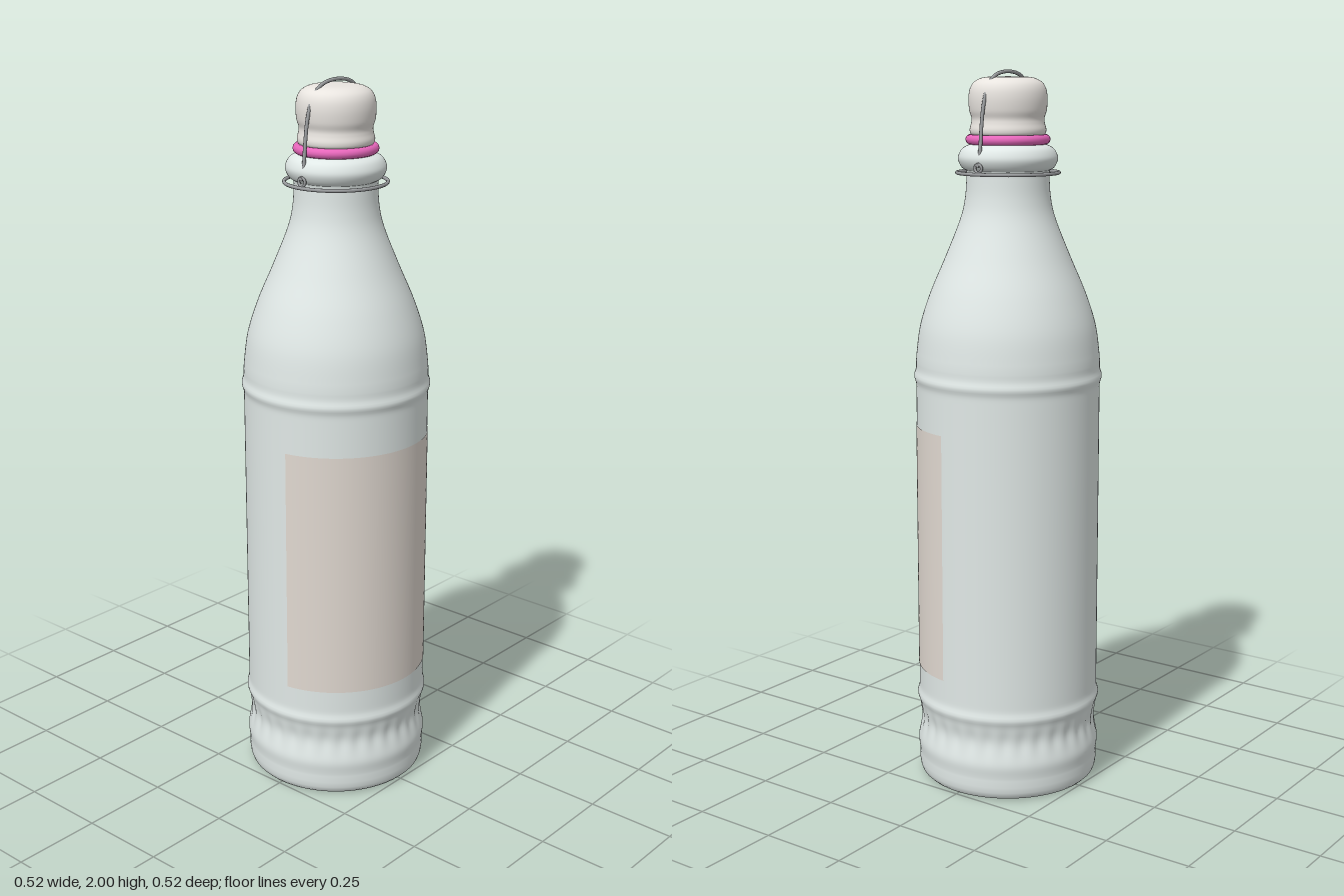
import * as THREE from 'three';
import { mergeVertices } from 'three/addons/utils/BufferGeometryUtils.js';

const V2 = (p) => new THREE.Vector2(p[0], p[1]);
const mat = (color) => new THREE.MeshStandardMaterial({ color });

// Lathe with welded seam; optional rule nudges each vertex radially
function turned(points, segments, radial) {
  let g = new THREE.LatheGeometry(points, segments);
  g.deleteAttribute('uv');
  g.deleteAttribute('normal');
  g = mergeVertices(g, 1e-5);
  if (radial) {
    const p = g.attributes.position;
    for (let i = 0; i < p.count; i++) {
      const x = p.getX(i), z = p.getZ(i), r = Math.hypot(x, z);
      if (r < 0.2) continue;
      const k = 1 + radial(Math.atan2(x, z), p.getY(i)) / r;
      p.setX(i, x * k);
      p.setZ(i, z * k);
    }
  }
  g.computeVertexNormals();
  return g;
}

export function createModel() {
  const model = new THREE.Group();
  const glass = mat(0xe0e8e6), stopperMat = mat(0xe8e4df), pink = mat(0xe868bc);
  const steel = mat(0x9a9c9e), paper = mat(0xe0d8d0);
  const add = (name, geometry, material, parent = model) => {
    const mesh = new THREE.Mesh(geometry, material);
    mesh.name = name;
    parent.add(mesh);
    return mesh;
  };

  // Bottle profile: hollowed base, straight wall with ridges, shoulder, lip
  const base = [[0, 0.045], [0.1, 0.04], [0.16, 0.027], [0.195, 0.01], [0.215, 0.001],
    [0.23, 0], [0.243, 0.004], [0.251, 0.012], [0.255, 0.024], [0.257, 0.04]].map(V2);
  const wall = [];
  const bump = (y, at, width) => Math.exp(-(((y - at) / width) ** 2));
  const ranges = [[0.06, 0.3, 32], [0.32, 1.1, 4], [1.12, 1.21, 14]];
  for (const [a, b, n] of ranges) {
    for (let i = 0; i <= n; i++) {
      const y = a + ((b - a) * i) / n;
      const r = 0.256 + 0.006 * bump(y, 0.238, 0.014) + 0.004 * bump(y, 0.1, 0.025)
        - 0.006 * bump(y, 0.17, 0.035) + 0.006 * bump(y, 1.168, 0.014);
      wall.push(new THREE.Vector2(r, y));
    }
  }
  const shoulder = new THREE.SplineCurve([[0.255, 1.225], [0.243, 1.31], [0.214, 1.4],
    [0.171, 1.5], [0.131, 1.6], [0.117, 1.66], [0.113, 1.72]].map(V2)).getPoints(36);
  const lip = new THREE.SplineCurve([[0.114, 1.732], [0.126, 1.74], [0.135, 1.757],
    [0.135, 1.772], [0.125, 1.79], [0.108, 1.8], [0.09, 1.804], [0, 1.804]].map(V2)).getPoints(28);

  // Ring of scalloped flutes pressed into the wall near the foot
  const flutes = (angle, y) =>
    -0.0045 * (0.5 + 0.5 * Math.cos(angle * 32)) * bump(y, 0.172, 0.036);
  add('bottle', turned([...base, ...wall, ...shoulder, ...lip], 192, flutes), glass);

  // Paper label wrapped round the front
  const span = THREE.MathUtils.degToRad(162);
  const label = add('label',
    new THREE.CylinderGeometry(0.2575, 0.2575, 0.7, 64, 1, true, -span / 2, span), paper);
  label.position.y = 0.68;
  paper.side = THREE.DoubleSide;

  // Swing-top closure
  const closure = new THREE.Group();
  closure.name = 'closure';
  model.add(closure);

  const gasket = add('gasket', new THREE.TorusGeometry(0.102, 0.0135, 14, 72), pink, closure);
  gasket.rotation.x = Math.PI / 2;
  gasket.position.y = 1.815;

  const stopperCurve = new THREE.SplineCurve([[0, 1.81], [0.07, 1.81], [0.098, 1.826],
    [0.104, 1.84], [0.1, 1.858], [0.099, 1.872], [0.105, 1.893], [0.107, 1.925],
    [0.102, 1.952], [0.088, 1.97], [0.06, 1.98], [0, 1.982]].map(V2));
  add('stopper', turned(stopperCurve.getPoints(60), 72), stopperMat, closure);

  // Wire collar round the neck
  const collar = add('collarWire', new THREE.TorusGeometry(0.139, 0.005, 10, 80), steel, closure);
  collar.rotation.x = Math.PI / 2;
  collar.position.y = 1.726;

  // Bail wire arching over the stopper
  const half = [[0.132, 1.748], [0.127, 1.79], [0.121, 1.85], [0.112, 1.905],
    [0.094, 1.952], [0.062, 1.983]];
  const arch = [...half.map(([x, y]) => [-x, y]), [0, 1.995], ...half.reverse()];
  const path = new THREE.CatmullRomCurve3(arch.map(([x, y]) => new THREE.Vector3(x, y, 0)));
  add('bailWire', new THREE.TubeGeometry(path, 90, 0.005, 10), steel, closure);

  // Hinge eyelets joining the bail to the collar
  for (const side of [-1, 1]) {
    const eye = add('hingeEyelet', new THREE.TorusGeometry(0.011, 0.004, 8, 20), steel, closure);
    eye.rotation.y = Math.PI / 2;
    eye.position.set(side * 0.136, 1.742, 0);
    const pin = add('hingePin', new THREE.CylinderGeometry(0.005, 0.005, 0.02, 10), steel, closure);
    pin.rotation.z = Math.PI / 2;
    pin.position.set(side * 0.13, 1.75, 0);
  }
  return model;
}
